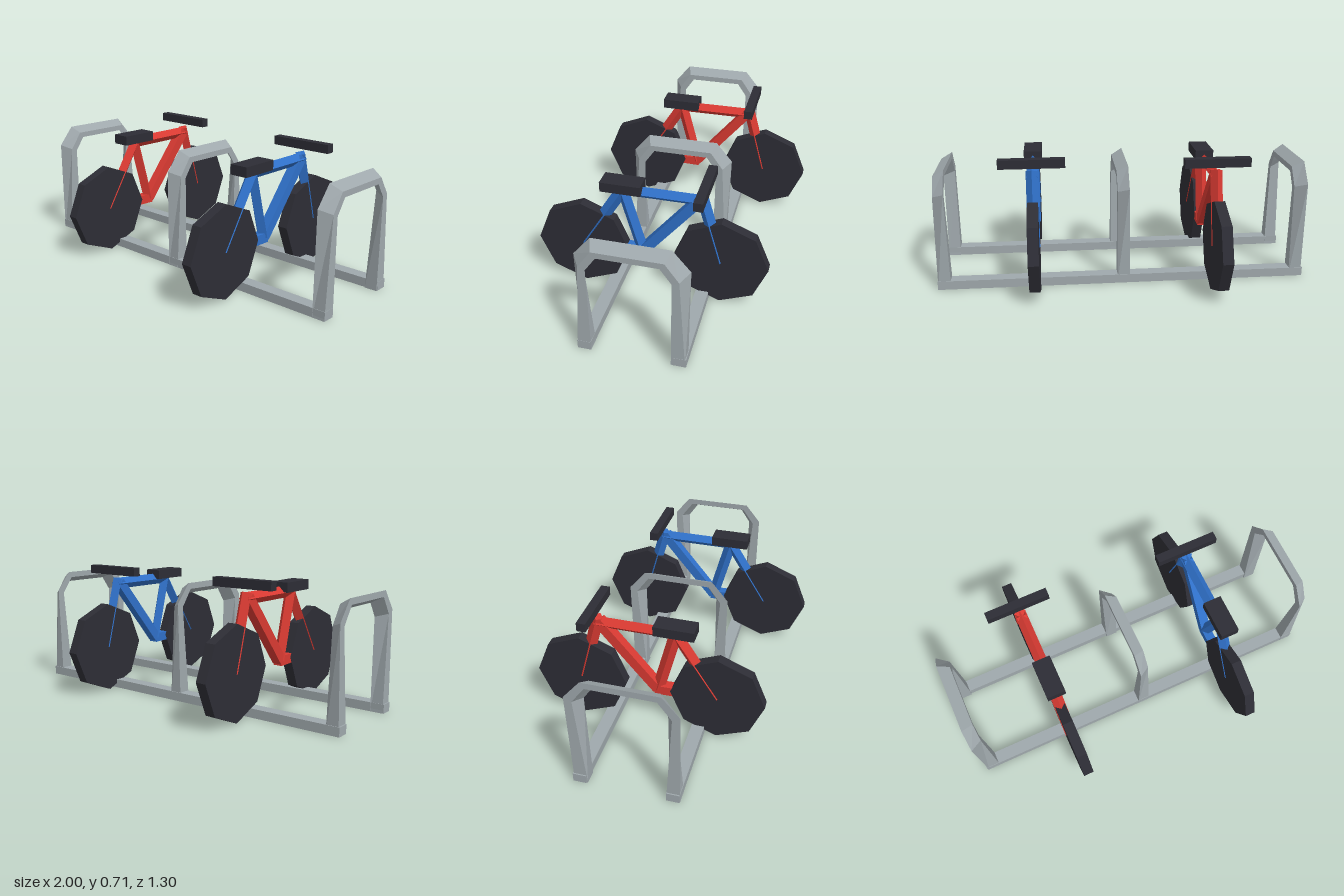
import * as THREE from 'three';

const flat = (name, color) => {
  const m = new THREE.MeshStandardMaterial({ color, flatShading: true });
  m.name = name;
  return m;
};

// Bent bar swept through skewed four-cornered sections in the yz plane
function hoopGeometry() {
  // each corner is [z, y]: outer -x, outer +x, inner +x, inner -x
  const half = [
    { w: 0.034, c: [[0.27, 0], [0.27, 0], [0.2, 0], [0.2, 0]] },
    { w: 0.03, c: [[0.272, 0.535], [0.232, 0.512], [0.197, 0.498], [0.232, 0.515]] },
    { w: 0.03, c: [[0.185, 0.64], [0.165, 0.607], [0.143, 0.576], [0.165, 0.607]] },
  ];
  const back = half.map(({ w, c }) => ({ w, c: c.map(([z, y]) => [-z - (y > 0 ? 0.01 : 0), y]) })).reverse();
  const rows = [...half, ...back].map(({ w, c }) =>
    c.map(([z, y], k) => [k === 1 || k === 2 ? w : -w, y, z]));
  const pos = [];
  const quad = (a, b, c, d) => pos.push(...a, ...b, ...c, ...a, ...c, ...d);
  for (let i = 0; i < rows.length - 1; i++) {
    for (let k = 0; k < 4; k++) {
      const n = (k + 1) % 4;
      quad(rows[i][k], rows[i][n], rows[i + 1][n], rows[i + 1][k]);
    }
  }
  const geo = new THREE.BufferGeometry();
  geo.setAttribute('position', new THREE.Float32BufferAttribute(pos, 3));
  geo.computeVertexNormals();
  return geo;
}

export function createModel() {
  const steel = flat('galvanised grey', 0x9fa8ac);
  const black = flat('rubber black', 0x2d2d35);
  const red = flat('red paint', 0xd93a32);
  const blue = flat('blue paint', 0x2f70c8);
  const root = new THREE.Group();
  root.name = 'bikeRack';

  const add = (parent, name, geo, mat, x = 0, y = 0, z = 0) => {
    const mesh = new THREE.Mesh(geo, mat);
    mesh.name = name;
    mesh.position.set(x, y, z);
    parent.add(mesh);
    return mesh;
  };

  // Stand: two floor rails and three hoops
  for (const side of [1, -1]) {
    add(root, side > 0 ? 'frontRail' : 'backRail',
      new THREE.BoxGeometry(2, 0.048, 0.068), steel, 0, 0.024, side > 0 ? 0.235 : -0.241);
  }
  const hoop = hoopGeometry();
  for (const x of [-0.96, 0, 0.965]) add(root, 'hoop', hoop, steel, x);

  // Straight frame member between two [z, y] points, diamond or square in section
  const tube = (parent, name, [z0, y0], [z1, y1], mat, square = false) => {
    const dz = z1 - z0, dy = y1 - y0;
    const r = square ? 0.037 : 0.032;
    const geo = new THREE.CylinderGeometry(r, r, Math.hypot(dz, dy), 4);
    if (square) geo.rotateY(Math.PI / 4);
    const m = add(parent, name, geo, mat, 0, (y0 + y1) / 2, (z0 + z1) / 2);
    m.rotation.x = Math.atan2(dz, dy);
  };

  const makeBike = (name, paint, x, z) => {
    const bike = new THREE.Group();
    bike.name = name;
    bike.position.set(x, 0, z);
    root.add(bike);

    // Wheels
    const rearHub = [0.403, 0.25], frontHub = [-0.332, 0.25];
    for (const [part, hub] of [['rearWheel', rearHub], ['frontWheel', frontHub]]) {
      const geo = new THREE.CylinderGeometry(0.248, 0.248, 0.056, 8).rotateZ(Math.PI / 2);
      add(bike, part, geo, black, 0, hub[1], hub[0]);
    }

    // Frame
    const crank = [0.085, 0.243], seat = [0.18, 0.605], head = [-0.222, 0.615];
    tube(bike, 'chainStay', rearHub, [0.07, 0.243], paint, true);
    tube(bike, 'seatStay', rearHub, seat, paint);
    tube(bike, 'seatTube', crank, seat, paint);
    tube(bike, 'downTube', crank, head, paint, true);
    tube(bike, 'topTube', seat, [-0.24, 0.606], paint);
    tube(bike, 'fork', frontHub, [-0.225, 0.635], paint);

    // Saddle and handlebar
    add(bike, 'saddle', new THREE.BoxGeometry(0.1, 0.053, 0.21), black, 0, 0.634, 0.18);
    add(bike, 'handlebar', new THREE.BoxGeometry(0.348, 0.047, 0.047), black, 0, 0.682, -0.245);
  };
  makeBike('redBike', red, -0.482, -0.072);
  makeBike('blueBike', blue, 0.478, 0);

  return root;
}
